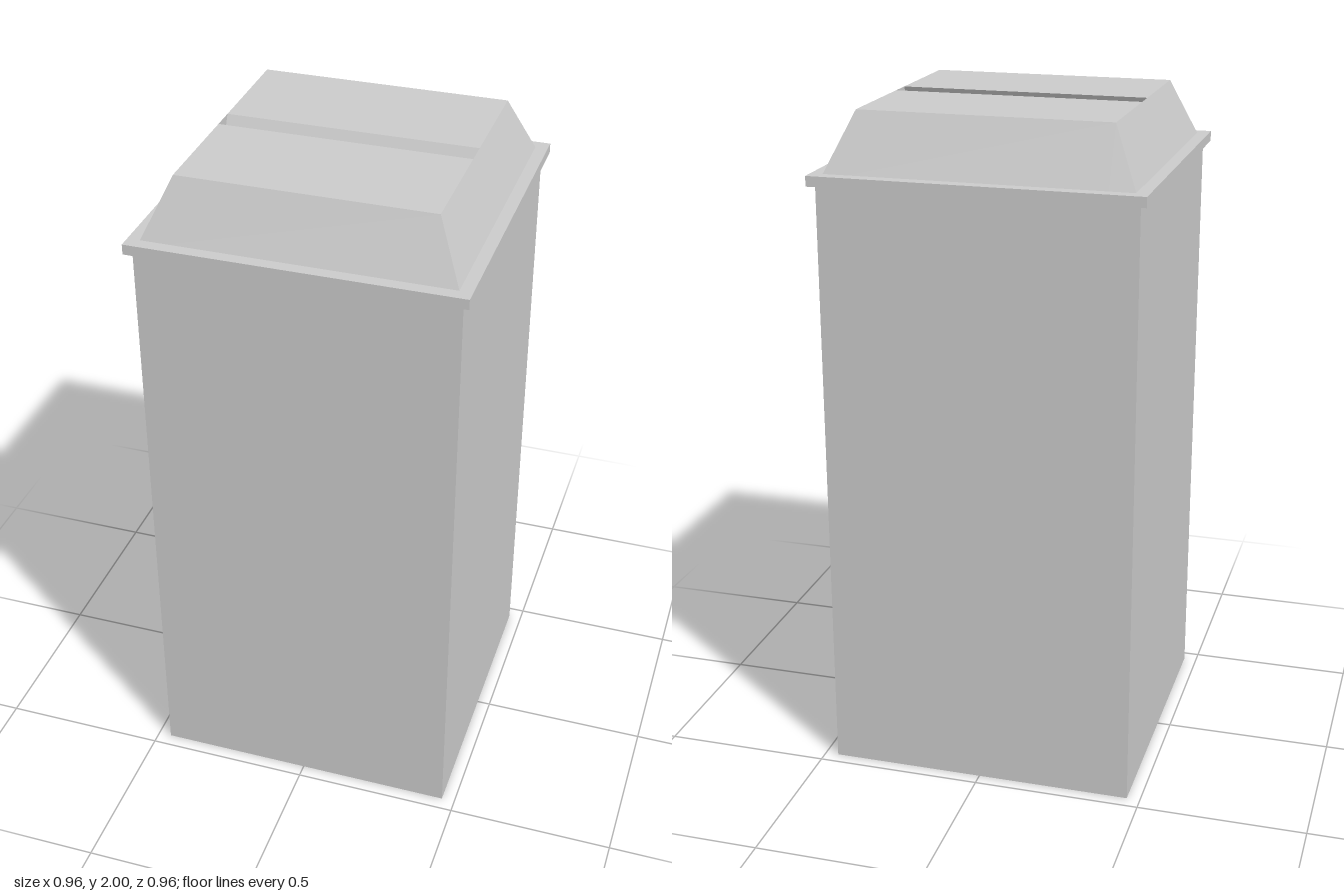
import * as THREE from 'three';
import { ConvexGeometry } from 'three/addons/geometries/ConvexGeometry.js';

const BODY = 0.46, RIM = 0.48;          // half widths
const BASE = 0.443, TOP = 0.368;        // lid half widths, bottom and top
const Y_RIM = 1.8, Y_LID = 1.83, Y_TOP = 2;

export function createModel() {
  const model = new THREE.Group();
  const material = new THREE.MeshStandardMaterial({ color: 0xcccccc, flatShading: true });

  const add = (name, geometry, parent = model) => {
    const mesh = new THREE.Mesh(geometry, material);
    mesh.name = name;
    parent.add(mesh);
    return mesh;
  };
  const slab = (name, half, y0, y1) => {
    add(name, new THREE.BoxGeometry(half * 2, y1 - y0, half * 2)).position.y = (y0 + y1) / 2;
  };

  // Square bin and the flat rim that carries the lid
  slab('body', BODY, 0, Y_RIM);
  slab('rim', RIM, Y_RIM, Y_LID);

  const lid = new THREE.Group();
  lid.name = 'lid';
  model.add(lid);

  // Middle of the lid: side profile (z, y) with a slanted slot, extruded along x
  const profile = new THREE.Shape([
    [-BASE, Y_LID], [BASE, Y_LID], [TOP, Y_TOP],
    [0.034, Y_TOP], [0.1, 1.865], [0.03, 1.865], [-0.037, Y_TOP],
    [-TOP, Y_TOP],
  ].map(([z, y]) => new THREE.Vector2(z, y)));
  const middle = new THREE.ExtrudeGeometry(profile, { depth: TOP * 2, bevelEnabled: false });
  middle.translate(0, 0, -TOP).rotateY(-Math.PI / 2);
  add('slottedTop', middle, lid);

  // Sloping ends that close the slot on both sides
  for (const [name, side] of [['leftSlope', 1], ['rightSlope', -1]]) {
    const points = [];
    for (const s of [-1, 1]) {
      points.push(
        new THREE.Vector3(side * TOP, Y_TOP, s * TOP),
        new THREE.Vector3(side * TOP, Y_LID, s * BASE),
        new THREE.Vector3(side * BASE, Y_LID, s * BASE),
      );
    }
    add(name, new ConvexGeometry(points), lid);
  }

  return model;
}
